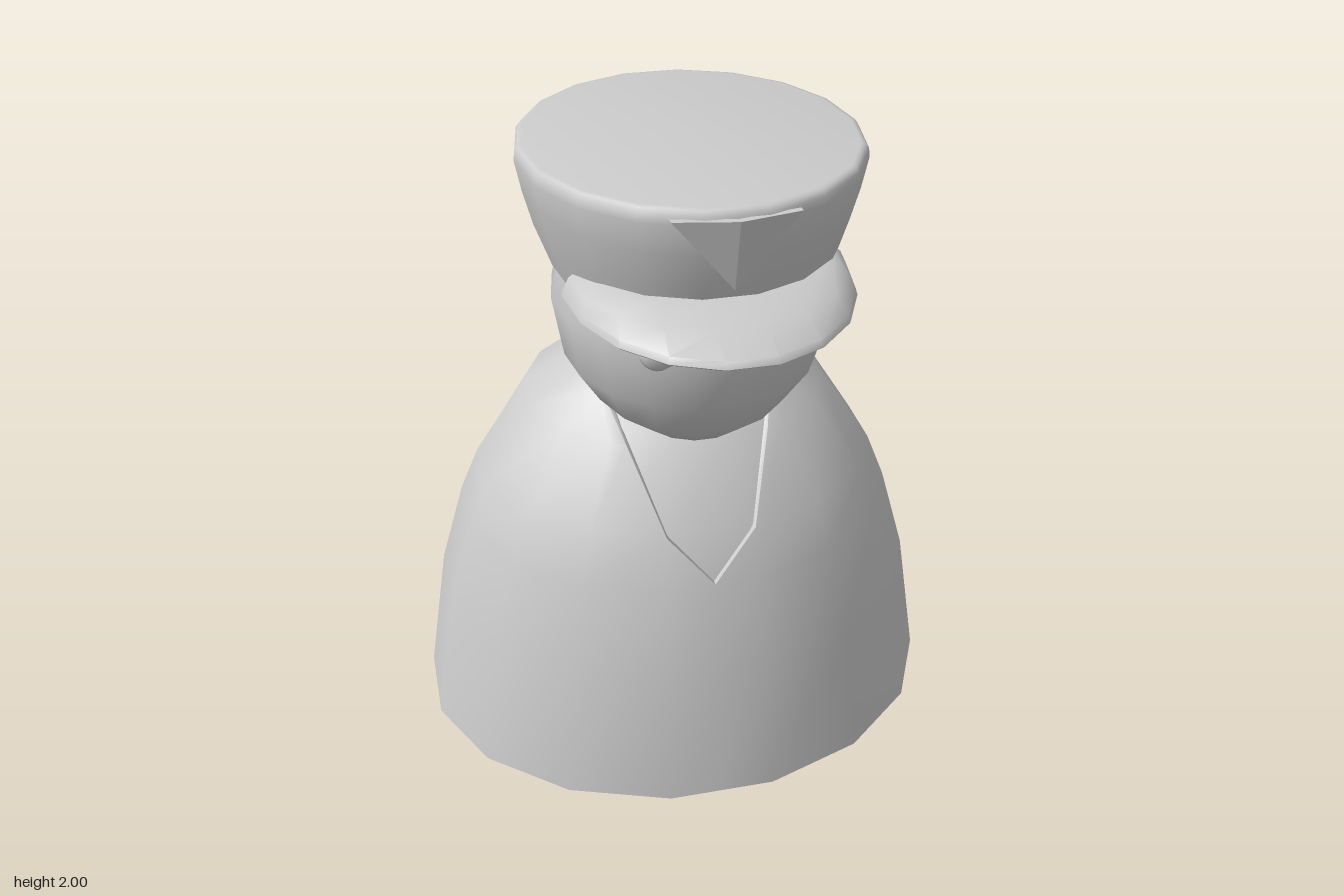
import * as THREE from 'three';
import { toCreasedNormals } from 'three/addons/utils/BufferGeometryUtils.js';

const grey = new THREE.MeshStandardMaterial({ color: 0xcccccc });
const greyOpen = new THREE.MeshStandardMaterial({ color: 0xcccccc, side: THREE.DoubleSide });

// Sections are [y, slope, centreZ, radiusX, radiusZ], listed from bottom to top.
// Point at angle t (0 = front, towards +x) on an n-sided oval with flat facets front and back.
function ringPoint([y, slope, cz, rx, rz], t, n, inset = 0) {
  const step = (2 * Math.PI) / n;
  const d = t - Math.round(t / step) * step;
  const r = Math.cos(step / 2) / Math.cos(d);
  const c = Math.cos(t) * r;
  return [(rx - inset) * Math.sin(t) * r, y + slope * rz * c, cz + (rz - inset) * c];
}

// Skin a grid of points, row by row.
function skin(rows, closed, crease) {
  const w = rows[0].length, idx = [];
  for (let i = 0; i < rows.length - 1; i++) {
    for (let j = 0; j < (closed ? w : w - 1); j++) {
      const k = (j + 1) % w;
      const a = i * w + j, b = i * w + k, c = b + w, d = a + w;
      idx.push(a, b, c, a, c, d);
    }
  }
  const g = new THREE.BufferGeometry();
  g.setAttribute('position', new THREE.Float32BufferAttribute(rows.flat(2), 3));
  g.setIndex(idx);
  return toCreasedNormals(g, crease);
}

function loft(sections, n, crease, inset = 0) {
  const rows = sections.map((s) =>
    Array.from({ length: n }, (_, k) => ringPoint(s, ((k + 0.5) * 2 * Math.PI) / n, n, inset)));
  return skin(rows, true, crease);
}

export function createModel() {
  const model = new THREE.Group();
  const add = (name, geometry, material = grey) => {
    const mesh = new THREE.Mesh(geometry, material);
    mesh.name = name;
    model.add(mesh);
    return mesh;
  };

  // Coat: open bell with a V-shaped neckline whose edge turns inwards
  const body = [
    [0, 0, -0.108, 0.846, 0.716],
    [0.44, 0, -0.108, 0.775, 0.665],
    [0.72, 0, -0.105, 0.694, 0.587],
    [0.87, 0, -0.098, 0.633, 0.528],
    [1.12, -0.08, -0.1, 0.47, 0.378],
    [1.25, -0.36, -0.04, 0.31, 0.235],
  ];
  const opening = [0, 0, 0, 0.215, 0.487, 1.0];
  const N = 16, INSET = 0.018, TURN = 2 * Math.PI;
  const coatRows = body.map((s, i) => {
    const a = opening[i];
    const row = [ringPoint(s, a, N, INSET), ringPoint(s, a, N)];
    for (let k = 0; k < N; k++) {
      const t = ((k + 0.5) * TURN) / N;
      row.push(ringPoint(s, Math.min(Math.max(t, a), TURN - a), N));
    }
    row.push(ringPoint(s, TURN - a, N), ringPoint(s, TURN - a, N, INSET));
    return row;
  });
  add('coat', skin(coatRows, false, 0.7), greyOpen);

  // Shirt seen in the neckline, closed under the head
  const shirt = [...body.slice(1), [1.24, 0, -0.02, INSET + 0.001, INSET + 0.001]];
  add('shirt', loft(shirt, N, 0.7, INSET), greyOpen);

  // Head with the jaw rising towards the back
  add('head', loft([
    [1.135, 0, 0.2, 0.001, 0.001],
    [1.19, -0.3, 0.17, 0.19, 0.16],
    [1.262, -0.14, 0.1, 0.305, 0.325],
    [1.36, 0, 0.12, 0.372, 0.405],
    [1.54, 0, 0.115, 0.402, 0.44],
    [1.66, 0, 0.117, 0.375, 0.43],
  ], 18, 1.0));

  // Eyes
  for (const side of [-1, 1]) {
    const eye = add(side > 0 ? 'leftEye' : 'rightEye', new THREE.SphereGeometry(0.055, 10, 8));
    eye.scale.z = 0.75;
    eye.position.set(side * 0.178, 1.56, 0.522);
  }

  // Cap crown: flares upwards to a rounded rim
  const HX = 0.485, HZ = 0.543, CZ = 0.112;
  const flare = [[1.64, 0.001], [1.64, 0.81], [1.68, 0.84], [1.77, 0.908], [1.87, 0.962],
    [1.96, 0.998], [1.985, 0.992], [1.997, 0.975], [2, 0.95], [2, 0.001]];
  add('capCrown', loft(flare.map(([y, f]) => [y, 0, CZ, HX * f, HZ * f]), 18, 1.0));

  // Cap visor: half oval in front, tucked into the crown behind
  const visor = loft([
    [1.64, 0, 0.32, 0.001, 0.001],
    [1.64, 0, 0.32, 0.39, 0.485],
    [1.65, 0, 0.32, 0.4, 0.5],
    [1.668, 0, 0.32, 0.395, 0.49],
    [1.7, 0, 0.32, 0.38, 0.38],
    [1.73, 0, 0.32, 0.345, 0.27],
    [1.73, 0, 0.32, 0.001, 0.001],
  ], 18, 0.8);
  const vp = visor.attributes.position;
  for (let i = 0; i < vp.count; i++) {
    const dz = vp.getZ(i) - 0.32;
    if (dz < 0) vp.setZ(i, 0.32 + dz * 0.08);
  }
  add('capVisor', visor);

  // Triangular badge, bent to follow the front of the crown
  const half = (s) => new THREE.Shape([[0, 1.77], [s * 0.168, 1.977], [0, 1.977]]
    .map(([x, y]) => new THREE.Vector2(x, y)));
  const badge = new THREE.ExtrudeGeometry([half(1), half(-1)], { depth: 0.02, bevelEnabled: false });
  const bp = badge.attributes.position;
  for (let i = 0; i < bp.count; i++) {
    const x = bp.getX(i);
    const f = THREE.MathUtils.mapLinear(bp.getY(i), 1.77, 1.977, 0.915, 0.998);
    bp.setZ(i, bp.getZ(i) + CZ - 0.004 + HZ * f * Math.sqrt(1 - (x / (HX * f)) ** 2));
  }
  badge.computeVertexNormals();
  add('capBadge', badge);

  return model;
}
